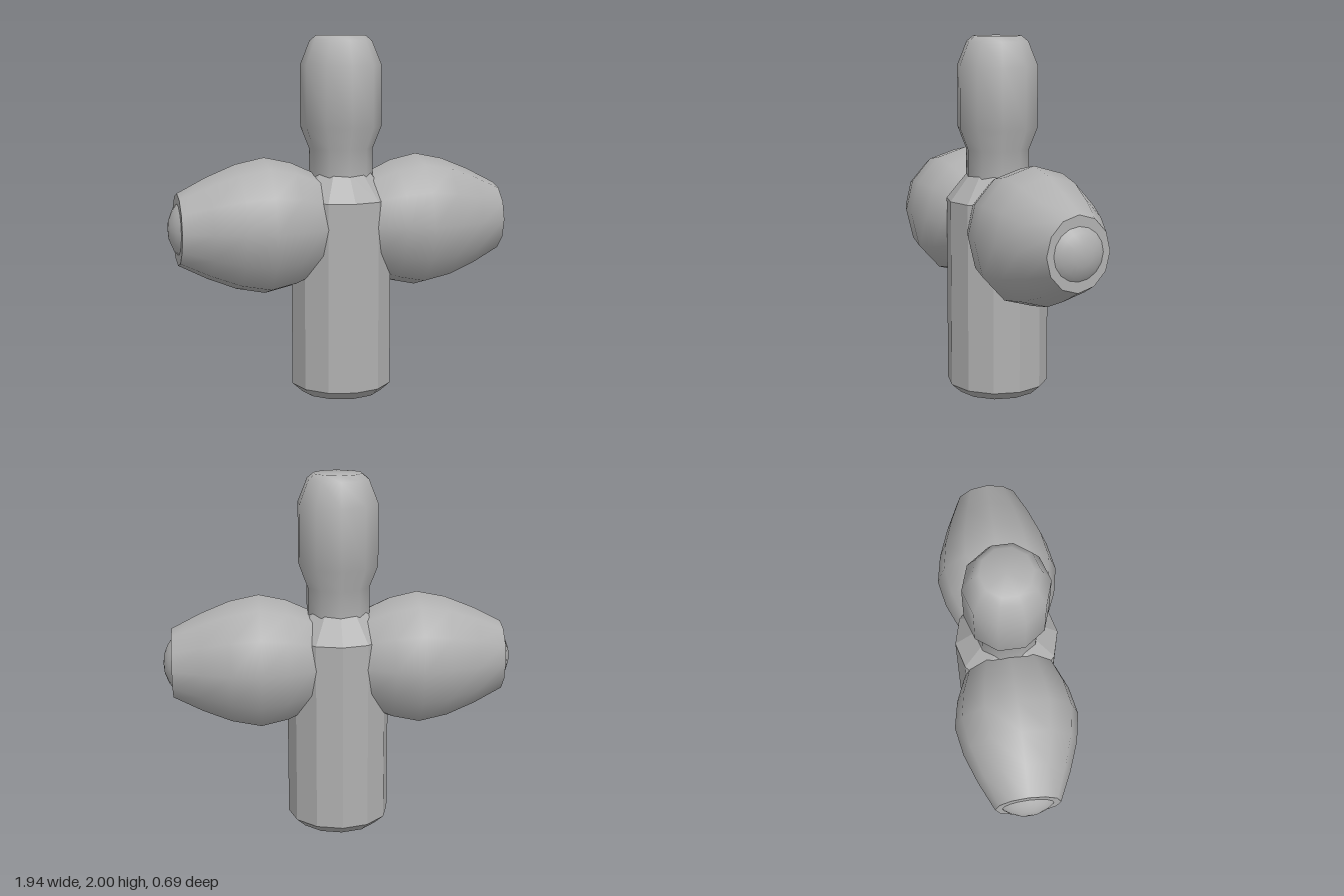
import * as THREE from 'three';
import { toCreasedNormals } from 'three/addons/utils/BufferGeometryUtils.js';

const grey = new THREE.MeshStandardMaterial({ color: 0xb0b0b0 });
grey.name = 'grey';

// Turned solid from [radius, height] pairs, smooth below the crease angle
function turned(profile, sides, crease) {
  const points = profile.map(([r, y]) => new THREE.Vector2(r, y));
  return toCreasedNormals(new THREE.LatheGeometry(points, sides), crease);
}

function part(name, geometry) {
  const mesh = new THREE.Mesh(geometry, grey);
  mesh.name = name;
  return mesh;
}

export function createModel() {
  const model = new THREE.Group();
  model.name = 'figure';

  // Faceted post with a chamfered foot and sloping shoulders
  model.add(part('body', turned(
    [[0, 0], [0.23, 0], [0.285, 0.05], [0.285, 1.1], [0.165, 1.25], [0, 1.25]], 12, 0.3)));

  // Neck widening into the rounded head
  model.add(part('head', turned(
    [[0, 1.2], [0.178, 1.2], [0.178, 1.38], [0.225, 1.5], [0.225, 1.84], [0.172, 1.97], [0.135, 2], [0, 2]], 10, 0.75)));

  // Barrel-shaped arms, slightly flattened front to back, with a ball in each end
  const barrel = turned(
    [[0, 0.08], [0.24, 0.08], [0.29, 0.17], [0.345, 0.29], [0.378, 0.44], [0.345, 0.6], [0.28, 0.76], [0.198, 0.92], [0, 0.92]], 12, 0.75);
  barrel.scale(1, 1, 0.907);
  barrel.rotateZ(-Math.PI / 2);
  const ball = new THREE.SphereGeometry(0.222, 16, 12);
  ball.rotateZ(-Math.PI / 2);

  for (const side of [1, -1]) {
    const arm = new THREE.Group();
    arm.name = side > 0 ? 'leftArm' : 'rightArm';
    const tip = part('armEnd', ball);
    tip.position.x = 0.75;
    arm.add(part('armBarrel', barrel), tip);
    arm.position.y = 0.96;
    arm.rotation.y = side > 0 ? 0 : Math.PI;
    model.add(arm);
  }
  return model;
}
